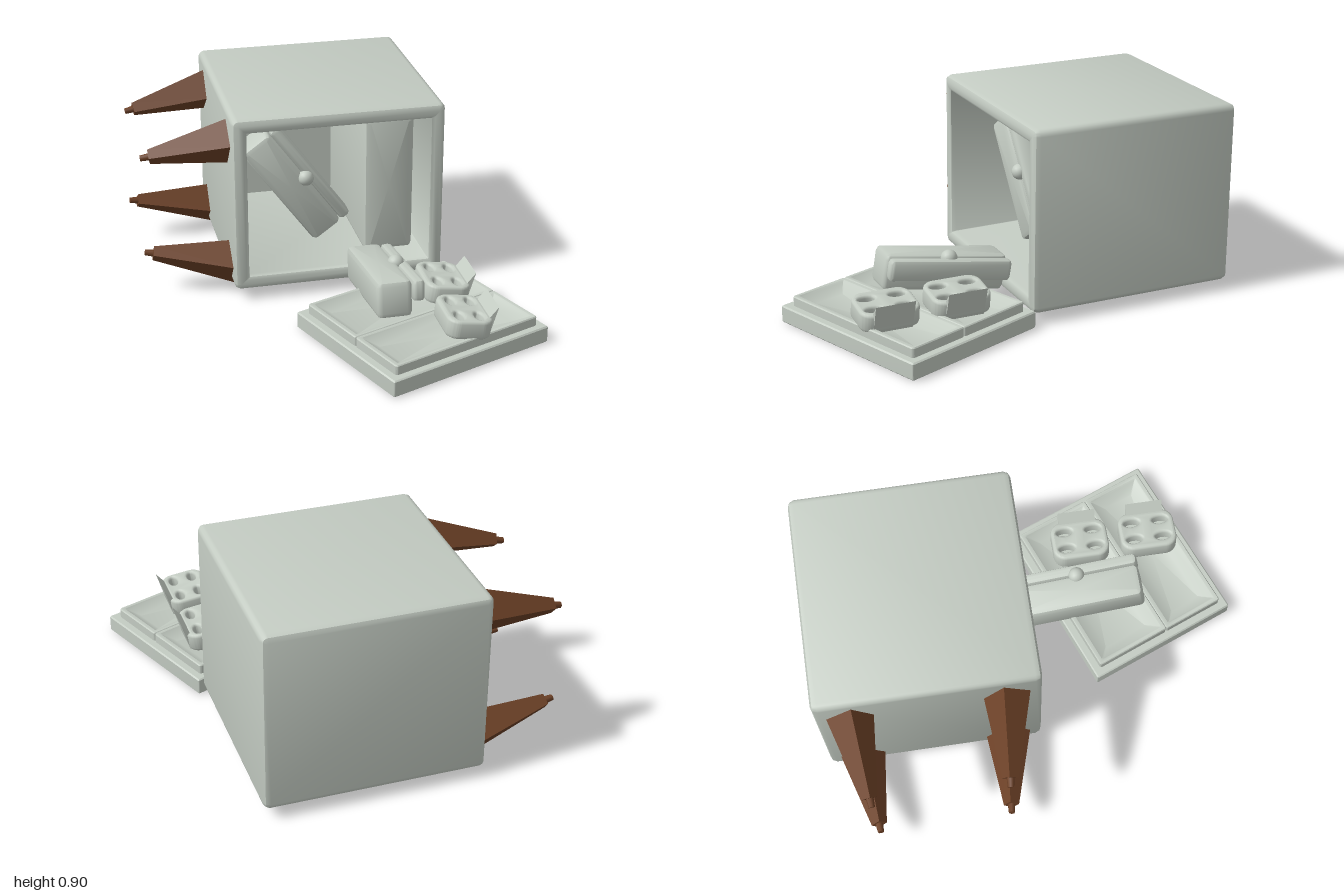
import * as THREE from 'three';
import { toCreasedNormals } from 'three/addons/utils/BufferGeometryUtils.js';

// Rounded-rectangle rings along z; each profile entry is [inset, z]. Both ends are capped.
function loft(w, h, r, profile) {
  const pos = [], idx = [], steps = 4, n = 4 * (steps + 1);
  for (const [inset, z] of profile) {
    const rr = Math.max(r - inset, 0.004);
    for (let c = 0; c < 4; c++) {
      const sx = c === 0 || c === 3 ? 1 : -1, sy = c < 2 ? 1 : -1;
      for (let k = 0; k <= steps; k++) {
        const a = (c + k / steps) * Math.PI / 2;
        pos.push(sx * (w / 2 - inset - rr) + rr * Math.cos(a), sy * (h / 2 - inset - rr) + rr * Math.sin(a), z);
      }
    }
  }
  const last = profile.length - 1, c0 = pos.length / 3;
  pos.push(0, 0, profile[0][1], 0, 0, profile[last][1]);
  for (let j = 0; j < n; j++) {
    const k = (j + 1) % n;
    for (let i = 0; i < last; i++) {
      const a = i * n + j, b = i * n + k, c = b + n, d = a + n;
      idx.push(a, b, c, a, c, d);
    }
    idx.push(c0, k, j, c0 + 1, last * n + j, last * n + k);
  }
  const g = new THREE.BufferGeometry();
  g.setAttribute('position', new THREE.Float32BufferAttribute(pos, 3));
  g.setIndex(idx);
  return toCreasedNormals(g, 0.65);
}

// Solid block with rounded edges, centred
function block(w, h, d, b) {
  const z = d / 2, q = b * 0.29;
  return loft(w, h, b, [[b, -z], [q, q - z], [0, b - z], [0, z - b], [q, z - q], [b, z]]);
}

export function createModel() {
  const enamel = new THREE.MeshStandardMaterial({ color: 0xc4ccc3 });
  enamel.name = 'pale enamel';
  const wood = new THREE.MeshStandardMaterial({ color: 0x6b4026 });
  wood.name = 'brown wood';

  const model = new THREE.Group();
  model.name = 'toppledCabinet';
  const add = (parent, name, geometry, x = 0, y = 0, z = 0, material = enamel) => {
    const m = new THREE.Mesh(geometry, material);
    m.name = name;
    m.position.set(x, y, z);
    parent.add(m);
    return m;
  };

  // Hollow cabinet, open towards +z
  add(model, 'cabinet', loft(0.995, 0.85, 0.03, [
    [0.03, -1], [0.009, -0.991], [0, -0.97], [0, -0.03], [0.009, -0.009], [0.03, 0],
    [0.052, 0], [0.065, -0.008], [0.07, -0.03], [0.085, -0.9],
  ]), 0.0475, 0.475, 0);
  add(model, 'innerCompartment', block(0.24, 0.69, 0.75, 0.03), 0.32, 0.455, -0.525);

  // Four tapered legs with small feet, on the -x side
  const up = new THREE.Vector3(0, 1, 0);
  for (const sy of [-1, 1]) for (const sz of [-1, 1]) {
    const base = new THREE.Vector3(-0.41, 0.44 + sy * 0.31, -0.5 + sz * 0.345);
    const tip = new THREE.Vector3(-0.805, 0.44 + sy * 0.245, -0.5 + sz * 0.305);
    const dir = tip.clone().sub(base), len = dir.length();
    const leg = new THREE.Group();
    leg.name = 'leg';
    leg.position.copy(base);
    leg.quaternion.setFromUnitVectors(up, dir.normalize());
    const taper = new THREE.CylinderGeometry(0.035, 0.11, len, 4).toNonIndexed();
    taper.computeVertexNormals();
    add(leg, 'legTaper', taper, 0, len / 2, 0, wood);
    add(leg, 'legFoot', new THREE.CylinderGeometry(0.014, 0.018, 0.05, 8), 0, len + 0.015, 0, wood);
    model.add(leg);
  }

  // Detached door lying flat, with two sloping wells in its inner face
  const door = new THREE.Group();
  door.name = 'door';
  door.position.set(0.305, 0, 0.497);
  door.rotation.y = 0.375;
  model.add(door);
  const flat = (name, g, z) => { add(door, name, g, 0, 0, z).rotation.x = -Math.PI / 2; };
  flat('doorPanel', loft(0.85, 0.742, 0.008, [[0.006, 0], [0, 0.006], [0, 0.074], [0.006, 0.08]]), 0);
  const split = 0.035, half = 0.335;
  for (const [a, b] of [[-half, split], [split, half]]) {
    flat('doorWell', loft(0.775, b - a, 0.012, [
      [0, 0.075], [0, 0.12], [0.004, 0.125], [0.02, 0.125], [0.028, 0.118], [0.075, 0.088],
    ]), (a + b) / 2);
  }

  // Small chest: body, lid strip and a round clasp on the seam
  const chest = (name) => {
    const g = new THREE.Group();
    g.name = name;
    add(g, 'chestBody', block(0.16, 0.59, 0.17, 0.025), -0.03);
    add(g, 'chestLid', block(0.056, 0.59, 0.1, 0.02), 0.08, 0, 0.03);
    add(g, 'chestClasp', new THREE.SphereGeometry(0.038, 16, 12), 0.052, 0, 0.075);
    model.add(g);
    return g;
  };
  const leaning = chest('leaningChest');
  leaning.position.set(-0.11, 0.467, -0.295);
  leaning.rotation.z = 0.63;
  const fallen = chest('fallenChest');
  fallen.position.set(0.19, 0.185, 0.285);
  fallen.rotation.x = -(Math.PI / 2 + 0.16);

  // Egg trays: rounded block with four oval cups and a flared flap
  const tray = new THREE.Shape();
  const hw = 0.09, hl = 0.122, r = 0.045;
  tray.absarc(hw - r, hl - r, r, 0, Math.PI / 2);
  tray.absarc(r - hw, hl - r, r, Math.PI / 2, Math.PI);
  tray.absarc(r - hw, r - hl, r, Math.PI, Math.PI * 1.5);
  tray.absarc(hw - r, r - hl, r, Math.PI * 1.5, Math.PI * 2);
  for (const sx of [-1, 1]) for (const sy of [-1, 1]) {
    const cup = new THREE.Path();
    cup.absellipse(sx * 0.046, sy * 0.07, 0.034, 0.053, 0, Math.PI * 2, true);
    tray.holes.push(cup);
  }
  const trayGeo = toCreasedNormals(new THREE.ExtrudeGeometry(tray, {
    depth: 0.06, bevelThickness: 0.014, bevelSize: 0.014, bevelSegments: 3, curveSegments: 10,
  }), 0.7);
  const flap = new THREE.Shape([[0.07, -0.03], [0.1, -0.04], [0.122, 0.1], [0.085, 0.042]]
    .map(([x, y]) => new THREE.Vector2(x, y)));
  const flapGeo = new THREE.ExtrudeGeometry(flap, { depth: 0.18, bevelEnabled: false });
  for (const z of [0.325, 0.657]) {
    const g = new THREE.Group();
    g.name = 'eggTray';
    g.position.set(0.445, 0.155, z);
    g.rotation.z = -0.14;
    add(g, 'trayCups', trayGeo, 0, -0.026, 0).rotation.x = -Math.PI / 2;
    add(g, 'trayFloor', new THREE.BoxGeometry(0.18, 0.03, 0.22), 0, -0.02, 0);
    add(g, 'trayFlap', flapGeo, 0, 0, -0.09);
    model.add(g);
  }
  return model;
}
